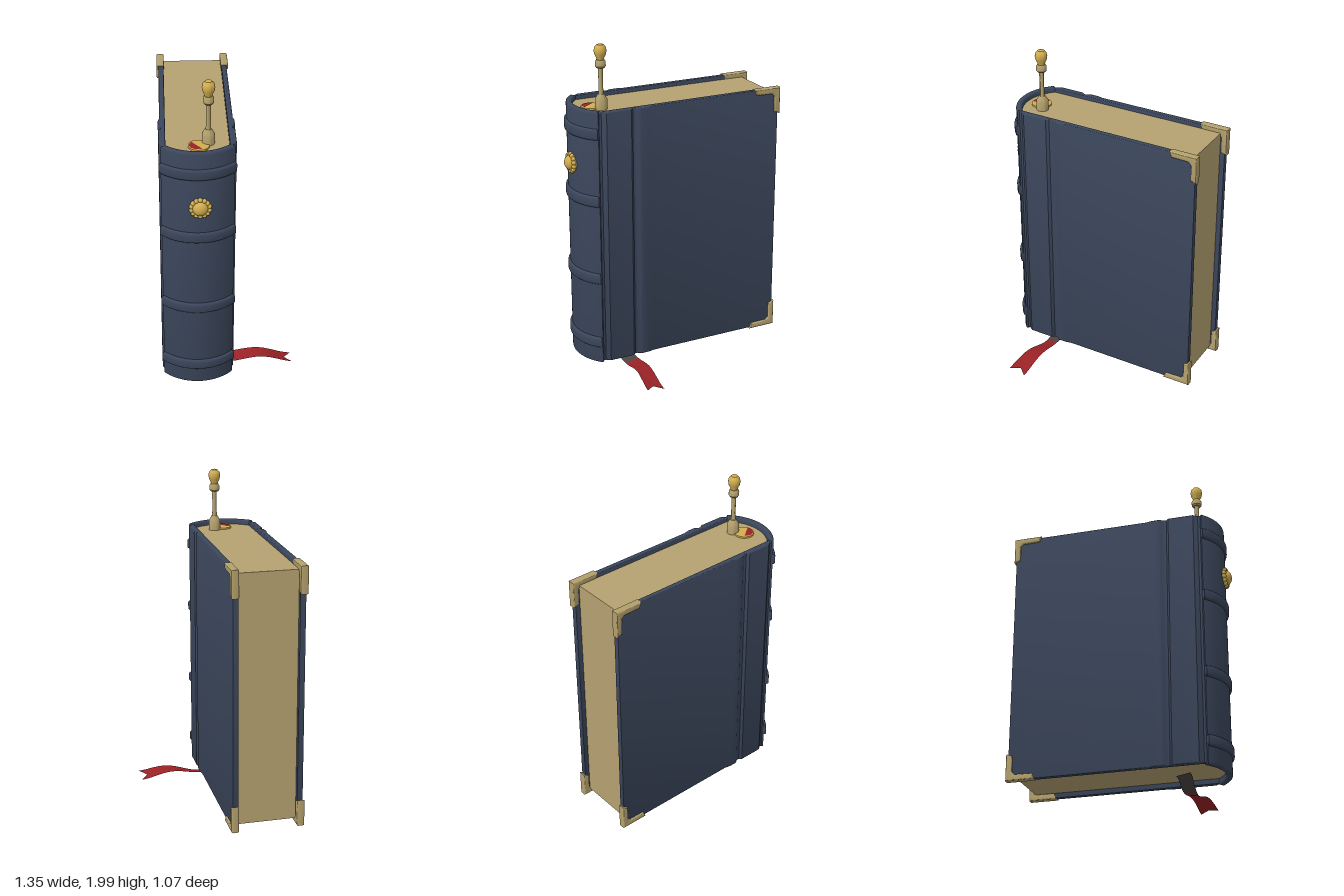
import * as THREE from 'three';
import { toCreasedNormals } from 'three/addons/utils/BufferGeometryUtils.js';

const mat = (name, color, side = THREE.FrontSide) => {
  const m = new THREE.MeshStandardMaterial({ color, side });
  m.name = name;
  return m;
};

export function createModel() {
  const leather = mat('navy leather', 0x3b465b);
  const paper = mat('aged paper', 0xb6a271);
  const brass = mat('dull brass', 0xb3a06c);
  const gold = mat('bright gold', 0xd2ae50);
  const red = mat('red ribbon', 0x9a2226, THREE.DoubleSide);
  const dark = mat('dark ribbon', 0x4a4442, THREE.DoubleSide);

  const model = new THREE.Group();
  model.name = 'book';
  // Book frame: x runs toward the spine, z toward the front cover
  const book = new THREE.Group();
  book.name = 'boundBook';
  book.rotation.y = THREE.MathUtils.degToRad(-36.5);
  model.add(book);
  const body = new THREE.Group();
  body.name = 'binding';
  body.position.z = 0.029;
  book.add(body);

  const add = (parent, name, geo, material, x = 0, y = 0, z = 0) => {
    const m = new THREE.Mesh(geo, material);
    m.name = name;
    m.position.set(x, y, z);
    parent.add(m);
    return m;
  };
  const poly = (pts) => new THREE.Shape(pts.map(([x, y]) => new THREE.Vector2(x, y)));
  const extrude = (shape, depth, bevel) => {
    const g = new THREE.ExtrudeGeometry(shape, {
      depth: depth - 2 * bevel, bevelEnabled: bevel > 0, bevelSize: bevel,
      bevelThickness: bevel, bevelOffset: -bevel, bevelSegments: 3, curveSegments: 32,
    });
    g.translate(0, 0, bevel);
    return g;
  };
  // Plan outline raised from y0 to y1
  const slab = (shape, y0, y1, bevel) => {
    const g = extrude(shape, y1 - y0, bevel);
    g.rotateX(Math.PI / 2);
    g.translate(0, y1, 0);
    return toCreasedNormals(g, 0.6);
  };

  // Curved spine section
  const CX = 0.365, R = 0.283, A = 0.82;
  const arcBand = (r0, r1, a) => {
    const s = new THREE.Shape();
    s.absarc(CX, 0, r1, -a, a, false);
    s.absarc(CX, 0, r0, a, -a, true);
    s.closePath();
    return s;
  };

  // Page block with a rounded back
  const pages = new THREE.Shape();
  pages.moveTo(-0.595, 0.18);
  pages.lineTo(-0.595, -0.18);
  pages.lineTo(0.53, -0.18);
  pages.absarc(CX, 0, 0.252, -0.77, 0.77, false);
  pages.lineTo(0.53, 0.18);
  pages.closePath();
  add(body, 'pageBlock', slab(pages, 0.09, 1.615, 0), paper);

  // Covers with hinge ridge, groove and joint panel
  const profile = [[-0.625, 0.178], [-0.625, 0.211], [0.215, 0.211], [0.25, 0.219], [0.3, 0.219],
    [0.325, 0.203], [0.34, 0.203], [0.355, 0.217], [0.51, 0.217], [0.535, 0.198], [0.56, 0.198], [0.56, 0.178]];
  for (const s of [1, -1]) {
    const side = s > 0 ? 'front' : 'back';
    add(body, side + 'Cover', slab(poly(profile.map(([x, z]) => [x, s * z])), 0.06, 1.64, 0.006), leather);

    // L-shaped corner guards
    for (const top of [true, false]) {
      const L = [[0, 0], [0.175, 0], [0.16, 0.035], [0.055, 0.037], [0.037, 0.055], [0.037, 0.15], [0, 0.165]];
      const k = top ? -1 : 1;
      const g = toCreasedNormals(extrude(poly(L.map(([x, y]) => [x, k * y])), 0.046, 0.008), 0.6);
      add(body, side + (top ? 'Top' : 'Bottom') + 'Corner', g, brass,
        -0.637, top ? 1.644 : 0.056, s * 0.199 - 0.023);
    }
  }

  // Spine and its raised bands
  add(body, 'spine', slab(arcBand(R - 0.037, R, A), 0.05, 1.645, 0.012), leather);
  for (const y of [0.19, 0.61, 1.1, 1.51]) {
    add(body, 'spineBand', slab(arcBand(R - 0.025, R + 0.014, A), y - 0.034, y + 0.034, 0.014), leather);
  }

  // Round boss on the spine, with a scalloped rim
  const boss = new THREE.Group();
  boss.name = 'spineBoss';
  boss.position.set(CX + R - 0.006, 1.3, -0.01);
  boss.rotation.z = -Math.PI / 2;
  body.add(boss);
  const lathe = (pts) => new THREE.LatheGeometry(pts.map(([x, y]) => new THREE.Vector2(x, y)), 32);
  add(boss, 'bossPlate', new THREE.CylinderGeometry(0.054, 0.06, 0.022, 32), brass, 0, 0.008, 0);
  for (let i = 0; i < 14; i++) {
    const a = (i / 14) * Math.PI * 2;
    add(boss, 'bossScallop', new THREE.SphereGeometry(0.014, 10, 8), gold,
      Math.cos(a) * 0.052, 0.012, Math.sin(a) * 0.052);
  }
  const dome = add(boss, 'bossDome', new THREE.SphereGeometry(0.044, 24, 10, 0, Math.PI * 2, 0, Math.PI / 2), gold, 0, 0.016, 0);
  dome.scale.y = 0.75;

  // Ribbon marker: a waving strip below the book, notched at its free end
  const strip = (v0, v1, n, notch) => {
    const pos = [], idx = [];
    for (let i = 0; i <= n; i++) {
      const t = i / n, v = v0 + (v1 - v0) * t;
      const wide = 0.042 + 0.012 * Math.max(0, (-v - 0.2) / 0.35);
      for (let j = -1; j <= 1; j++) {
        const z = v + (j === 0 ? notch * t ** 4 : 0);
        const y = 0.033 + 0.017 * Math.sin(v * 15 + 0.8) + 0.009 * j * Math.sin(v * 9);
        pos.push(0.375 + j * wide + 0.012 * Math.sin(v * 8), y, z);
      }
      if (i < n) for (let j = 0; j < 2; j++) {
        const a = i * 3 + j;
        idx.push(a, a + 1, a + 3, a + 1, a + 4, a + 3);
      }
    }
    const g = new THREE.BufferGeometry();
    g.setAttribute('position', new THREE.Float32BufferAttribute(pos, 3));
    g.setIndex(idx);
    g.computeVertexNormals();
    return g;
  };
  add(book, 'ribbonTail', strip(-0.17, -0.56, 24, 0.045), red);
  add(book, 'ribbonUnderside', strip(0.12, -0.17, 20, 0), dark);

  // Gold disc with a red inset on the page top
  add(model, 'topDisc', new THREE.CylinderGeometry(0.06, 0.06, 0.012, 32), gold, 0.4, 1.619, 0.325);
  const inset = new THREE.Shape();
  inset.absarc(0, 0, 0.048, Math.PI * 1.04, Math.PI * 1.96, false);
  inset.closePath();
  const insetGeo = new THREE.ShapeGeometry(inset, 20);
  insetGeo.rotateX(-Math.PI / 2);
  add(model, 'discInset', insetGeo, red, 0.4, 1.628, 0.332);

  // Upright pin: socket, shaft, collar and bulb
  const pin = new THREE.Group();
  pin.name = 'pin';
  pin.position.set(0.4, 0, 0.257);
  model.add(pin);
  const turned = (name, pts, m) => add(pin, name, toCreasedNormals(lathe(pts), 0.6), m);
  turned('pinSocket', [[0.036, 1.61], [0.036, 1.675], [0.018, 1.705], [0, 1.705]], brass);
  turned('pinShaft', [[0.015, 1.69], [0.013, 1.78], [0.015, 1.87]], brass);
  turned('pinCollar', [[0, 1.86], [0.024, 1.86], [0.031, 1.87], [0.031, 1.895], [0.024, 1.908], [0, 1.908]], brass);
  turned('pinBulb', [[0.02, 1.9], [0.023, 1.918], [0.033, 1.938], [0.037, 1.96], [0.033, 1.98], [0.02, 1.995], [0, 2]], gold);

  return model;
}
